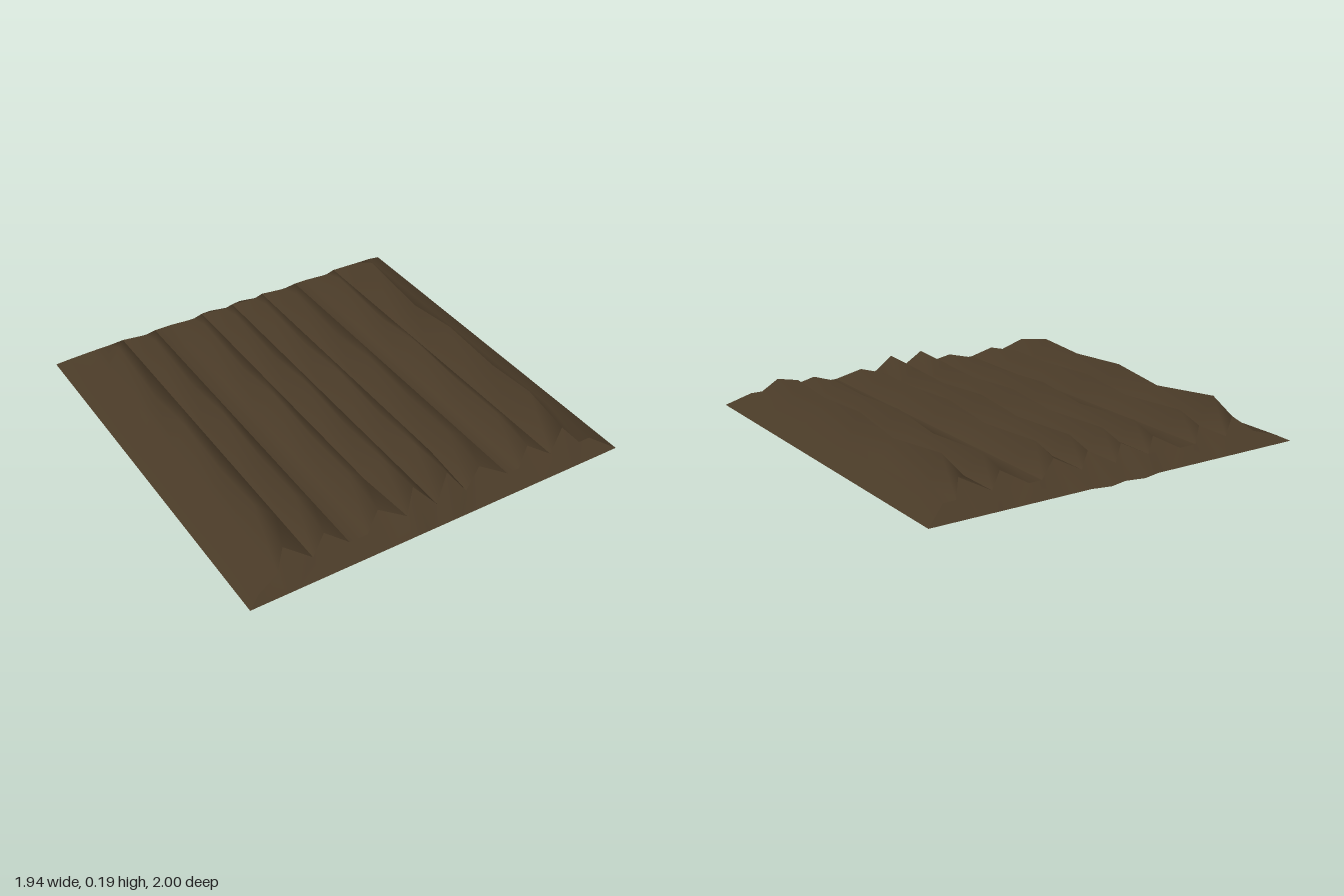
import * as THREE from 'three';

const soil = new THREE.MeshStandardMaterial({ color: 0x4a3b28, side: THREE.DoubleSide });

// Stations along the furrows, front to back, and crest heights at each
const stations = [0.9, 0.63, 0.35, 0, -0.3, -0.7, -0.88];
const crests = {
  outer: [0.13, 0.18, 0.16, 0.18, 0.14, 0.185, 0.12],
  middle: [0.11, 0.145, 0.14, 0.16, 0.125, 0.15, 0.11],
  inner: [0.155, 0.145, 0.13, 0.155, 0.125, 0.145, 0.11],
};

// Cross-section columns: x and either a fixed height or a crest profile
const columns = [
  [-0.97, 0], [-0.91, 0.03], [-0.8, 0.06], [-0.74, 'outer'], [-0.63, 0.065],
  [-0.54, 'middle'], [-0.45, 0.06], [-0.36, 0.06], [-0.27, 'middle'], [-0.18, 0.065],
  [-0.09, 'inner'], [0, 0.06], [0.09, 'inner'], [0.18, 0.065],
  [0.27, 'middle'], [0.385, 0.06], [0.45, 0.06], [0.54, 'middle'], [0.63, 0.065],
  [0.74, 'outer'], [0.8, 0.06], [0.86, 0.06], [0.97, 0],
];

const isCrest = ([, h]) => typeof h === 'string';

// Base edge of the field at the front or back end
function basePoint(col, front) {
  const z = front ? 1 : Math.abs(col[0]) === 0.09 ? -1 : -0.98;
  return [col[0], 0, z];
}

// Surface point of a column at a station; crests stop short of the ends
function topPoint(col, j) {
  let [x, h] = col;
  let z = stations[j];
  const first = j === 0, last = j === stations.length - 1;
  const y = isCrest(col) ? crests[h][j] : h;
  if (first || last) {
    if (Math.abs(x) === 0.97) return basePoint(col, first);
    if (first) z = isCrest(col) ? 0.87 : x === -0.91 ? 0.965 : 0.93;
    else z = isCrest(col) ? -0.83 : x === -0.91 ? -0.945 : -0.91;
  }
  if (first && Math.abs(x) === 0.18) x *= 0.87;
  return [x, y, z];
}

// Smooth sheet through rows of points, rows running front to back
function sheet(name, rows) {
  const n = rows[0].length;
  const index = [];
  for (let j = 0; j < rows.length - 1; j++) {
    for (let i = 0; i < n - 1; i++) {
      const a = j * n + i, b = a + 1, c = a + n, d = c + 1;
      index.push(a, b, d, a, d, c);
    }
  }
  const geometry = new THREE.BufferGeometry();
  geometry.setAttribute('position', new THREE.Float32BufferAttribute(rows.flat(2), 3));
  geometry.setIndex(index);
  geometry.computeVertexNormals();
  const mesh = new THREE.Mesh(geometry, soil);
  mesh.name = name;
  return mesh;
}

export function createModel() {
  const field = new THREE.Group();
  field.name = 'ploughedField';

  // Earth ridges, split at the furrow bottoms so these stay sharp
  const furrows = [0, 4, 6, 9, 11, 13, 15, 18, columns.length - 1];
  for (let k = 0; k < furrows.length - 1; k++) {
    const part = columns.slice(furrows[k], furrows[k + 1] + 1);
    field.add(sheet(`ridge${k + 1}`, stations.map((_, j) => part.map((c) => topPoint(c, j)))));
  }

  // Sloping banks closing the ends
  const last = stations.length - 1;
  field.add(sheet('frontBank', [
    columns.map((c) => basePoint(c, true)), columns.map((c) => topPoint(c, 0)),
  ]));
  field.add(sheet('backBank', [
    columns.map((c) => topPoint(c, last)), columns.map((c) => basePoint(c, false)),
  ]));
  return field;
}
